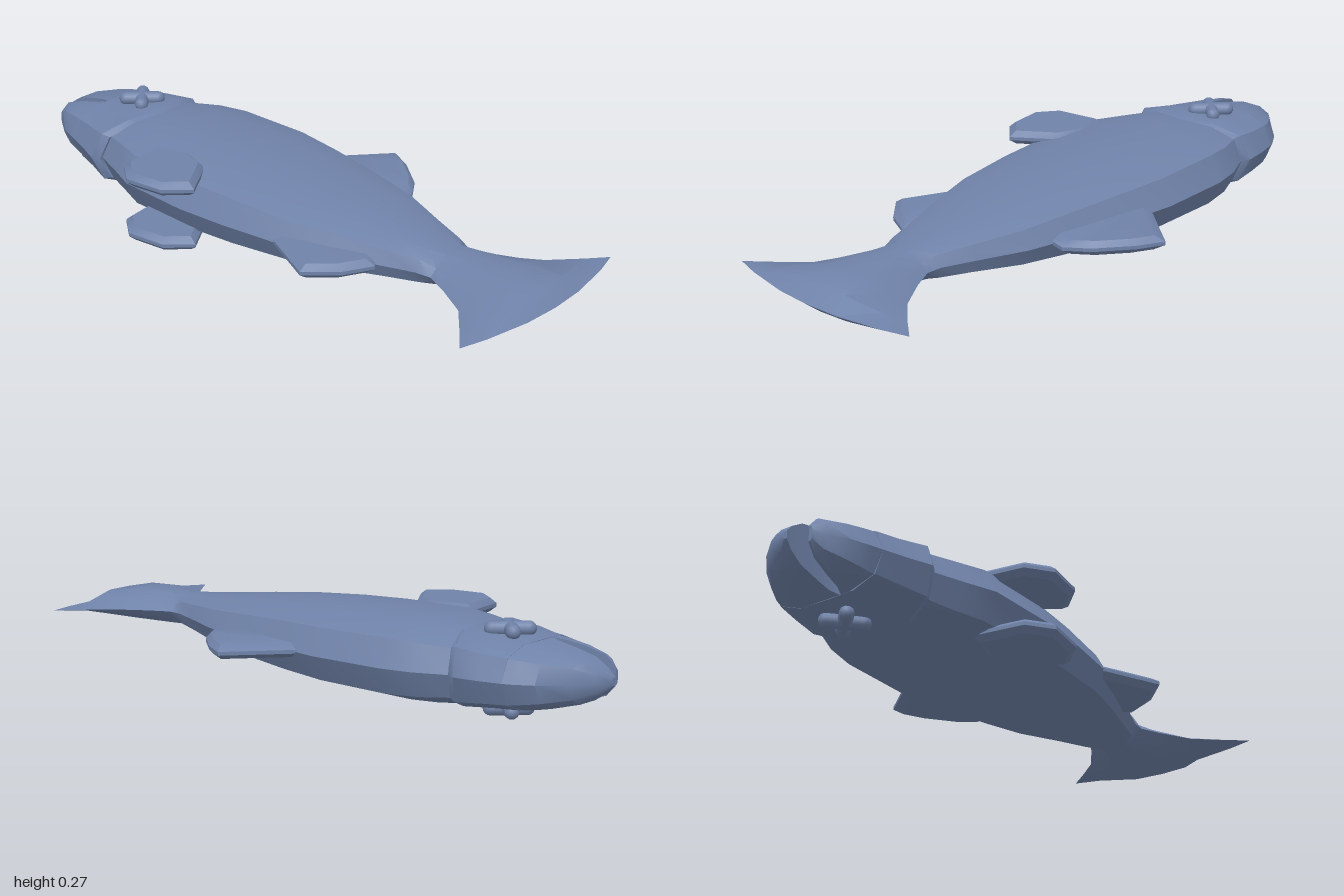
import * as THREE from 'three';
import { toCreasedNormals } from 'three/addons/utils/BufferGeometryUtils.js';

const MID = 0.135; // height of the fish's plane of symmetry

// Skin a list of equal-length rings, counter-clockwise about the sweep direction, and cap both ends
function loft(rings) {
  const n = rings[0].length, index = [];
  for (let i = 0; i < rings.length - 1; i++) {
    for (let j = 0; j < n; j++) {
      const a = i * n + j, b = i * n + (j + 1) % n;
      index.push(a, b, b + n, a, b + n, a + n);
    }
  }
  const last = (rings.length - 1) * n;
  for (let j = 1; j < n - 1; j++) {
    index.push(0, j + 1, j, last, last + j, last + j + 1);
  }
  const geometry = new THREE.BufferGeometry();
  geometry.setAttribute('position', new THREE.Float32BufferAttribute(rings.flat(2), 3));
  geometry.setIndex(index);
  return toCreasedNormals(geometry, 0.6);
}

// Cross-section profiles: [fraction from back to belly, fraction of half thickness]
const FULL = [[0, 0], [0.07, 0.7], [0.26, 1], [0.5, 1.02], [0.74, 1], [0.93, 0.7], [1, 0]];
const TAIL = [[0, 0], [0.12, 0.4], [0.33, 1], [0.5, 1.02], [0.67, 1], [0.88, 0.4], [1, 0]];
const UPPER = [[0, 0], [0.12, 0.7], [0.43, 1], [1, 1]];
const LOWER = [[0, 1], [0.2, 1], [0.78, 0.7], [1, 0]];

// One vertical section of the fish; bow pushes its middle towards the tail
function section(profile, [x, back, belly, half, bow = 0]) {
  const point = ([u, v], side) => [
    x + bow * (1 - (2 * u - 1) ** 2), MID + side * v * half, back + (belly - back) * u];
  const lower = profile.filter(([, v]) => v > 0).reverse();
  return [...profile.map((p) => point(p, 1)), ...lower.map((p) => point(p, -1))];
}

// Lens-shaped fin: full outline in the middle, smaller outlines above and below
function finGeometry(outline, y, half, inset = 0.8) {
  const cx = outline.reduce((s, p) => s + p[0], 0) / outline.length;
  const cz = outline.reduce((s, p) => s + p[1], 0) / outline.length;
  const ring = (scale, h) => outline.map(([x, z]) => [cx + (x - cx) * scale, y + h, cz + (z - cz) * scale]);
  return loft([ring(inset, -half), ring(1, -half * 0.25), ring(1, half * 0.25), ring(inset, half)]);
}

export function createModel() {
  const model = new THREE.Group();
  model.name = 'fish';
  const skin = new THREE.MeshStandardMaterial({ color: 0x6f82a8 });
  skin.name = 'slate blue';

  function add(name, geometry) {
    const mesh = new THREE.Mesh(geometry, skin);
    mesh.name = name;
    model.add(mesh);
    return mesh;
  }

  // Body, narrowing to the tail stem: x, back z, belly z, half thickness
  const body = [
    [-0.70, -0.17, 0.20, 0.085], [-0.60, -0.205, 0.235, 0.101], [-0.52, -0.24, 0.265, 0.109],
    [-0.42, -0.26, 0.305, 0.115], [-0.17, -0.265, 0.317, 0.111], [0, -0.24, 0.305, 0.104],
    [0.2, -0.203, 0.28, 0.09], [0.35, -0.168, 0.235, 0.076], [0.5, -0.105, 0.18, 0.06],
    [0.6, -0.065, 0.145, 0.051],
  ].map((s) => section(FULL, s));
  // Forked tail with a bowed trailing edge
  const tail = [
    [0.65, -0.062, 0.14, 0.05], [0.72, -0.098, 0.173, 0.05], [0.82, -0.163, 0.232, 0.049, 0.03],
    [0.895, -0.245, 0.322, 0.038, 0.06], [0.945, -0.305, 0.385, 0.001, 0.055],
  ].map((s) => section(TAIL, s));
  add('bodyAndTail', loft([...body, ...tail]));

  // Head, ending in a curved gill edge that overlaps the body
  add('head', loft([
    [-0.79, -0.187, 0.198, 0.092], [-0.72, -0.203, 0.222, 0.099, 0.03],
    [-0.645, -0.212, 0.253, 0.111, 0.07], [-0.62, -0.2, 0.24, 0.1, 0.07],
  ].map((s) => section(FULL, s))));

  // Jaws on either side of the open mouth
  add('upperJaw', loft([
    [-1, 0.025, 0.043, 0.012], [-0.98, -0.025, 0.041, 0.035], [-0.94, -0.083, 0.04, 0.061],
    [-0.87, -0.145, 0.04, 0.078], [-0.82, -0.175, 0.04, 0.087], [-0.79, -0.187, 0.052, 0.092],
  ].map((s) => section(UPPER, s))));
  add('lowerJaw', loft([
    [-0.97, 0.092, 0.105, 0.025], [-0.94, 0.088, 0.128, 0.058], [-0.88, 0.079, 0.165, 0.076],
    [-0.82, 0.069, 0.187, 0.087], [-0.79, 0.055, 0.198, 0.092],
  ].map((s) => section(LOWER, s))));

  // Single fins on the back and belly
  add('dorsalFin', finGeometry(
    [[-0.14, -0.2], [0.26, -0.15], [0.28, -0.23], [0.23, -0.3], [0.13, -0.382], [0.05, -0.425]], MID, 0.022));
  add('analFin', finGeometry(
    [[0.14, 0.26], [0.37, 0.37], [0.455, 0.29], [0.5, 0.2], [0.45, 0.14], [0.25, 0.18]], MID, 0.022));

  // Paired fins and crossed eyes on both flanks
  const pectoral = [[-0.39, 0.2], [-0.365, 0.36], [-0.29, 0.417], [-0.16, 0.4],
    [-0.09, 0.332], [-0.18, 0.2], [-0.27, 0.17]];
  for (const [label, side] of [['upper', 1], ['lower', -1]]) {
    add(label + 'PectoralFin', finGeometry(pectoral, MID + side * 0.09, 0.022, 0.84));
    for (const turn of [-1, 1]) {
      const bar = add(label + 'EyeBar', new THREE.CapsuleGeometry(0.022, 0.104, 4, 10));
      bar.rotation.set(Math.PI / 2, 0, turn * Math.PI / 4);
      bar.position.set(-0.69, MID + side * 0.113, -0.012);
    }
  }
  return model;
}
